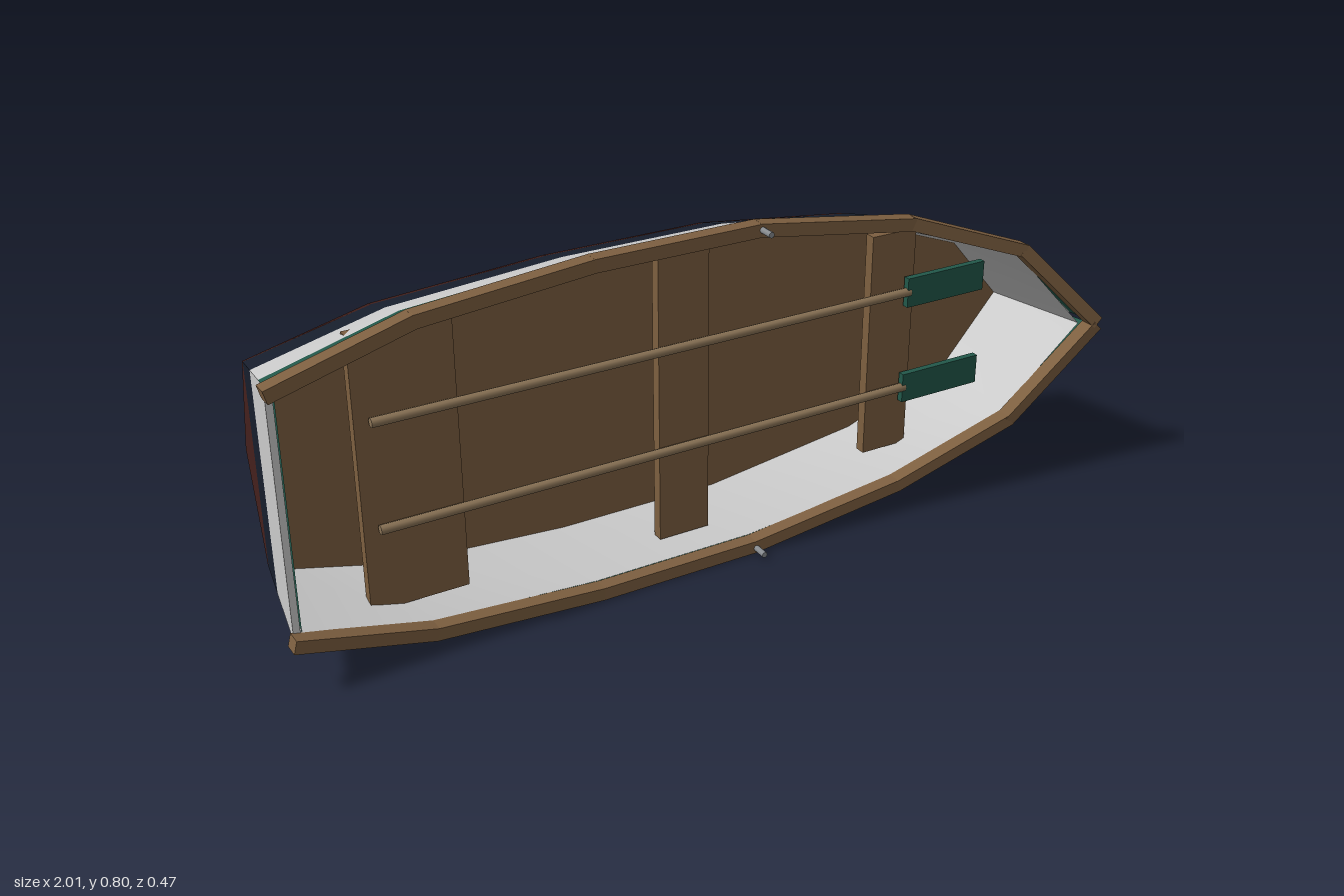
import * as THREE from 'three';

const mat = (color) => new THREE.MeshStandardMaterial({ color, side: THREE.DoubleSide });
const CENTRE_Y = 0.403;
const FLOOR_Z = -0.05;

// Hull stations, stern to bow: [x, half width, z] at the rim and chine, [x, z] at the keel
const STATIONS = [
  { rim: [-0.995, 0.285, 0.135], chine: [-0.97, 0.235, -0.095], keel: [-0.965, -0.175] },
  { rim: [-0.70, 0.36, 0.12], chine: [-0.70, 0.295, -0.107], keel: [-0.70, -0.215] },
  { rim: [-0.31, 0.39, 0.115], chine: [-0.31, 0.32, -0.11], keel: [-0.31, -0.236] },
  { rim: [0.08, 0.39, 0.115], chine: [0.08, 0.32, -0.11], keel: [0.08, -0.236] },
  { rim: [0.47, 0.335, 0.13], chine: [0.47, 0.27, -0.11], keel: [0.47, -0.215] },
  { rim: [0.77, 0.225, 0.16], chine: [0.755, 0.165, -0.11], keel: [0.75, -0.172] },
  { rim: [0.98, 0.004, 0.20], chine: [0.912, 0.002, -0.115], keel: [0.91, -0.125] },
];

// Point on the hull side at height z; side is +1 or -1, inset moves it inside the shell
function sidePoint(s, z, side, inset = 0) {
  const t = (s.rim[2] - z) / (s.rim[2] - s.chine[2]);
  let x = THREE.MathUtils.lerp(s.rim[0], s.chine[0], t);
  const w = Math.max(0, THREE.MathUtils.lerp(s.rim[1], s.chine[1], t) - inset);
  if (inset && s === STATIONS[0]) x += 0.015;
  if (inset && s === STATIONS[STATIONS.length - 1]) x -= 0.03;
  return [x, CENTRE_Y + side * w, z];
}

// Smooth sheet through rows of points
function sheet(rows) {
  const n = rows[0].length, index = [];
  for (let r = 0; r < rows.length - 1; r++) {
    for (let c = 0; c < n - 1; c++) {
      const a = r * n + c, b = a + n;
      index.push(a, b, a + 1, b, b + 1, a + 1);
    }
  }
  const g = new THREE.BufferGeometry();
  g.setAttribute('position', new THREE.Float32BufferAttribute(rows.flat(2), 3));
  g.setIndex(index);
  g.computeVertexNormals();
  return g;
}

export function createModel() {
  const model = new THREE.Group();
  model.name = 'rowingBoat';
  const wood = mat(0x7d5f40), green = mat(0x22584a), white = mat(0xcccccc);
  const navy = mat(0x171e2c), red = mat(0x44201c), metal = mat(0x888c90), shaftWood = mat(0x8a7356);

  const add = (name, geometry, material, parent = model) => {
    const mesh = new THREE.Mesh(geometry, material);
    mesh.name = name;
    parent.add(mesh);
    return mesh;
  };
  const box = (name, material, x0, x1, y0, y1, z0, z1, parent) => {
    const m = add(name, new THREE.BoxGeometry(x1 - x0, y1 - y0, z1 - z0), material, parent);
    m.position.set((x0 + x1) / 2, (y0 + y1) / 2, (z0 + z1) / 2);
    return m;
  };

  // Painted hull bands
  const WATER = -0.007, BOTTOM = -0.087;
  const stripe = (s) => s.rim[2] - 0.05;
  for (const side of [1, -1]) {
    const band = (name, material, hi, lo, inset) => add(name, sheet(STATIONS.map((s) =>
      [sidePoint(s, hi(s), side, inset), sidePoint(s, lo(s), side, inset)])), material);
    band('greenStripe', green, (s) => s.rim[2], stripe);
    band('whiteSide', white, stripe, () => WATER);
    band('navyStripe', navy, () => WATER, () => BOTTOM);
    band('innerWall', white, (s) => s.rim[2], () => FLOOR_Z, 0.02);
  }
  const underside = (s) => [
    sidePoint(s, BOTTOM, 1), sidePoint(s, s.chine[2], 1),
    [s.keel[0], CENTRE_Y, s.keel[1]],
    sidePoint(s, s.chine[2], -1), sidePoint(s, BOTTOM, -1),
  ];
  add('hullBottom', sheet(STATIONS.map(underside)), red);

  // Transom, banded like the hull
  const stern = STATIONS[0];
  const across = (z, inset) => [sidePoint(stern, z, 1, inset), sidePoint(stern, z, -1, inset)];
  const top = stern.rim[2];
  add('transomWhite', sheet([across(top), across(WATER)]), white);
  add('transomNavy', sheet([across(WATER), across(BOTTOM)]), navy);
  const low = underside(stern);
  const middle = [low[0][0], CENTRE_Y, BOTTOM];
  add('transomRed', sheet([low, low.map(() => middle)]), red);
  add('transomInside', sheet([across(top, 0.02), across(FLOOR_Z, 0.02)]), white);
  add('transomTop', sheet([across(top), across(top, 0.02)]), white);
  const trim = [across(top, 0.02), across(top - 0.05, 0.02)];
  add('transomInnerStripe', sheet(trim.map((r) => r.map(([x, y, z]) => [x + 0.003, y, z]))), green);

  // Floor
  add('floor', sheet(STATIONS.map((s) =>
    [sidePoint(s, FLOOR_Z, 1, 0.02), sidePoint(s, FLOOR_Z, -1, 0.02)])), wood);

  // Gunwale rails, one straight timber per bay
  const RAIL = [[-1, 0.275, 0.15], [-0.7, 0.354, 0.138], [-0.31, 0.386, 0.132], [0.08, 0.386, 0.132],
    [0.47, 0.329, 0.146], [0.77, 0.218, 0.178], [0.985, 0.004, 0.213]];
  for (const side of [1, -1]) {
    const rail = new THREE.Group();
    rail.name = 'gunwale';
    model.add(rail);
    for (let i = 0; i < RAIL.length - 1; i++) {
      const [a, b] = [RAIL[i], RAIL[i + 1]].map(([x, w, z]) => new THREE.Vector3(x, CENTRE_Y + side * w, z));
      const along = b.clone().sub(a), length = along.length();
      along.normalize();
      const over = new THREE.Vector3(0, 0, 1).cross(along).normalize();
      const up = along.clone().cross(over);
      const timber = add('gunwaleTimber', new THREE.BoxGeometry(length + 0.006, 0.03, 0.035), wood, rail);
      timber.quaternion.setFromRotationMatrix(new THREE.Matrix4().makeBasis(along, over, up));
      timber.position.copy(a).add(b).multiplyScalar(0.5);
    }
  }

  // Thwarts: [x start, x end, half width]
  for (const [x0, x1, w] of [[-0.81, -0.59, 0.315], [-0.125, 0, 0.347], [0.43, 0.55, 0.275]]) {
    box('seat', wood, x0, x1, CENTRE_Y - w, CENTRE_Y + w, 0.04, 0.066);
  }

  // Oars resting on the seats, and the rowlock pins
  for (const side of [1, -1]) {
    const oar = new THREE.Group();
    oar.name = 'oar';
    model.add(oar);
    const y = 0.408 + side * 0.122;
    const shaft = add('oarShaft', new THREE.CylinderGeometry(0.011, 0.011, 1.31, 8), shaftWood, oar);
    shaft.rotation.z = Math.PI / 2;
    shaft.position.set(-0.125, y, 0.08);
    box('oarBlade', green, 0.52, 0.74, y - 0.036, y + 0.036, 0.072, 0.088, oar);

    const pin = add('rowlockPin', new THREE.CylinderGeometry(0.007, 0.007, 0.07, 8), metal);
    pin.rotation.x = Math.PI / 2;
    pin.position.set(0.08, CENTRE_Y + side * 0.388, 0.15);
  }
  return model;
}
